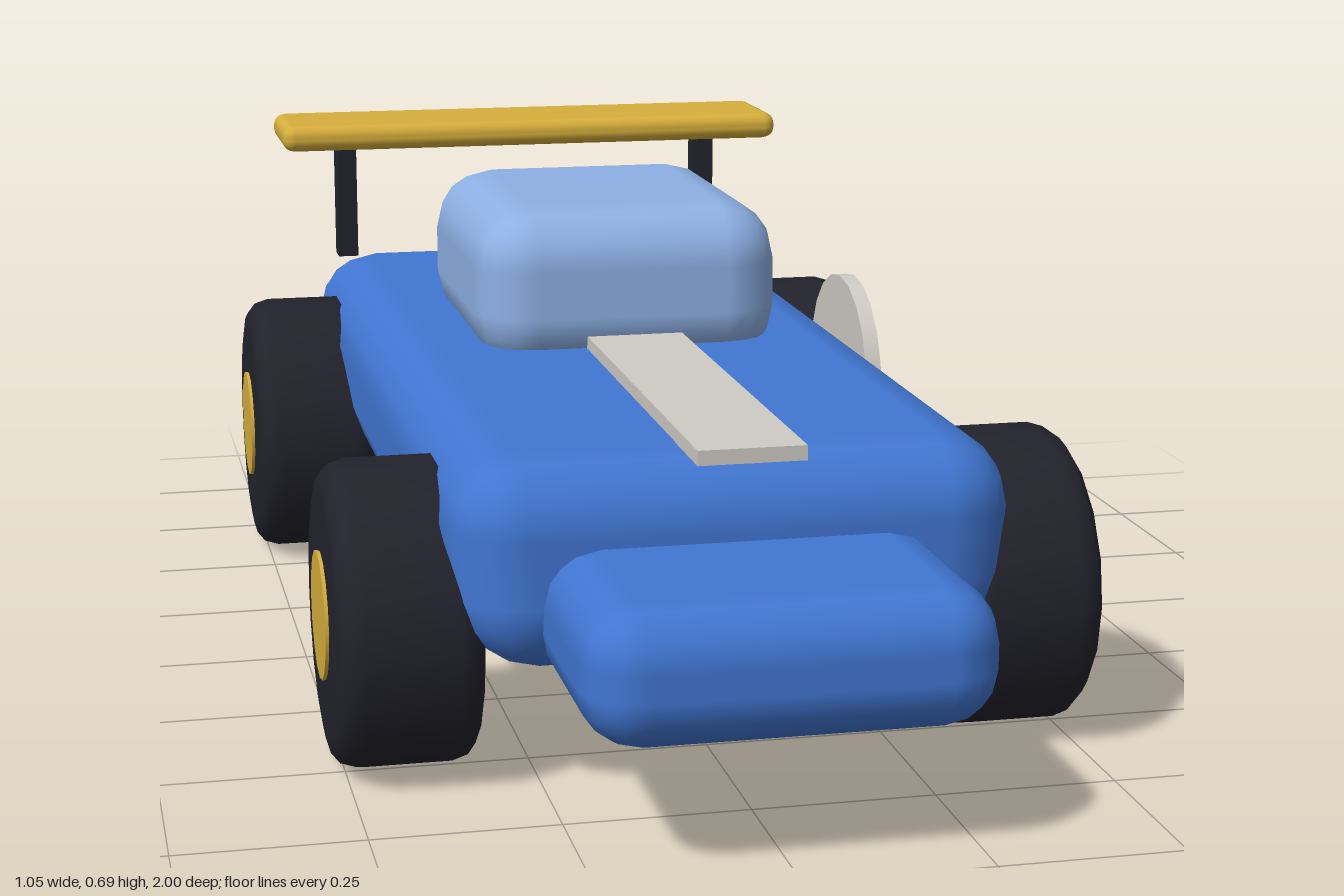
import * as THREE from 'three';
import { RoundedBoxGeometry } from 'three/addons/geometries/RoundedBoxGeometry.js';

const mat = (name, color) => {
  const m = new THREE.MeshStandardMaterial({ color });
  m.name = name;
  return m;
};

export function createModel() {
  const car = new THREE.Group();
  car.name = 'raceCar';

  const blue = mat('bodyBlue', 0x4176d2);
  const glass = mat('canopyBlue', 0x8db0e4);
  const gold = mat('gold', 0xd6ae3c);
  const black = mat('tyreBlack', 0x22222c);
  const silver = mat('silver', 0xcfcbc4);

  const add = (name, geometry, material, x, y, z) => {
    const mesh = new THREE.Mesh(geometry, material);
    mesh.name = name;
    mesh.position.set(x, y, z);
    car.add(mesh);
    return mesh;
  };

  // Main body, narrowing slightly towards the floor
  const hull = new RoundedBoxGeometry(0.76, 0.29, 1.63, 2, 0.1);
  const p = hull.attributes.position;
  for (let i = 0; i < p.count; i++) {
    p.setX(i, p.getX(i) * (1 - 0.37 * Math.max(0, 0.045 - p.getY(i))));
  }
  add('body', hull, blue, 0, 0.323, -0.105);

  // Nose and canopy
  add('nose', new RoundedBoxGeometry(0.53, 0.185, 0.5, 2, 0.075), blue, 0, 0.264, 0.75);
  add('canopy', new RoundedBoxGeometry(0.465, 0.25, 0.53, 2, 0.09), glass, 0, 0.55, -0.225);

  // Centre stripe and the round side plate
  add('stripe', new THREE.BoxGeometry(0.144, 0.02, 1.69), silver, 0, 0.477, -0.107);
  const plate = new THREE.CylinderGeometry(0.16, 0.16, 0.024, 20).rotateZ(Math.PI / 2);
  add('sidePlate', plate, silver, 0.386, 0.365, -0.165);

  // Rear wing on two struts
  add('wing', new RoundedBoxGeometry(0.876, 0.045, 0.2, 2, 0.02), gold, 0, 0.674, -0.9);
  for (const s of [-1, 1]) {
    add('wingStrut', new THREE.BoxGeometry(0.034, 0.2, 0.046), black, s * 0.322, 0.555, -0.895);
  }

  // Wheels: tyre with rounded shoulders, hub running through it
  const profile = [
    [0, -0.098], [0.165, -0.098], [0.188, -0.094], [0.203, -0.082], [0.21, -0.06],
    [0.21, 0.06], [0.203, 0.082], [0.188, 0.094], [0.165, 0.098], [0, 0.098],
  ].map(([r, h]) => new THREE.Vector2(r, h));
  const tyre = new THREE.LatheGeometry(profile, 18).rotateZ(Math.PI / 2);
  const hub = new THREE.CylinderGeometry(0.088, 0.088, 0.208, 16).rotateZ(Math.PI / 2);
  for (const s of [-1, 1]) {
    for (const z of [0.45, -0.66]) {
      add('tyre', tyre, black, s * 0.423, 0.212, z);
      add('hub', hub, gold, s * 0.422, 0.212, z);
    }
  }

  return car;
}
